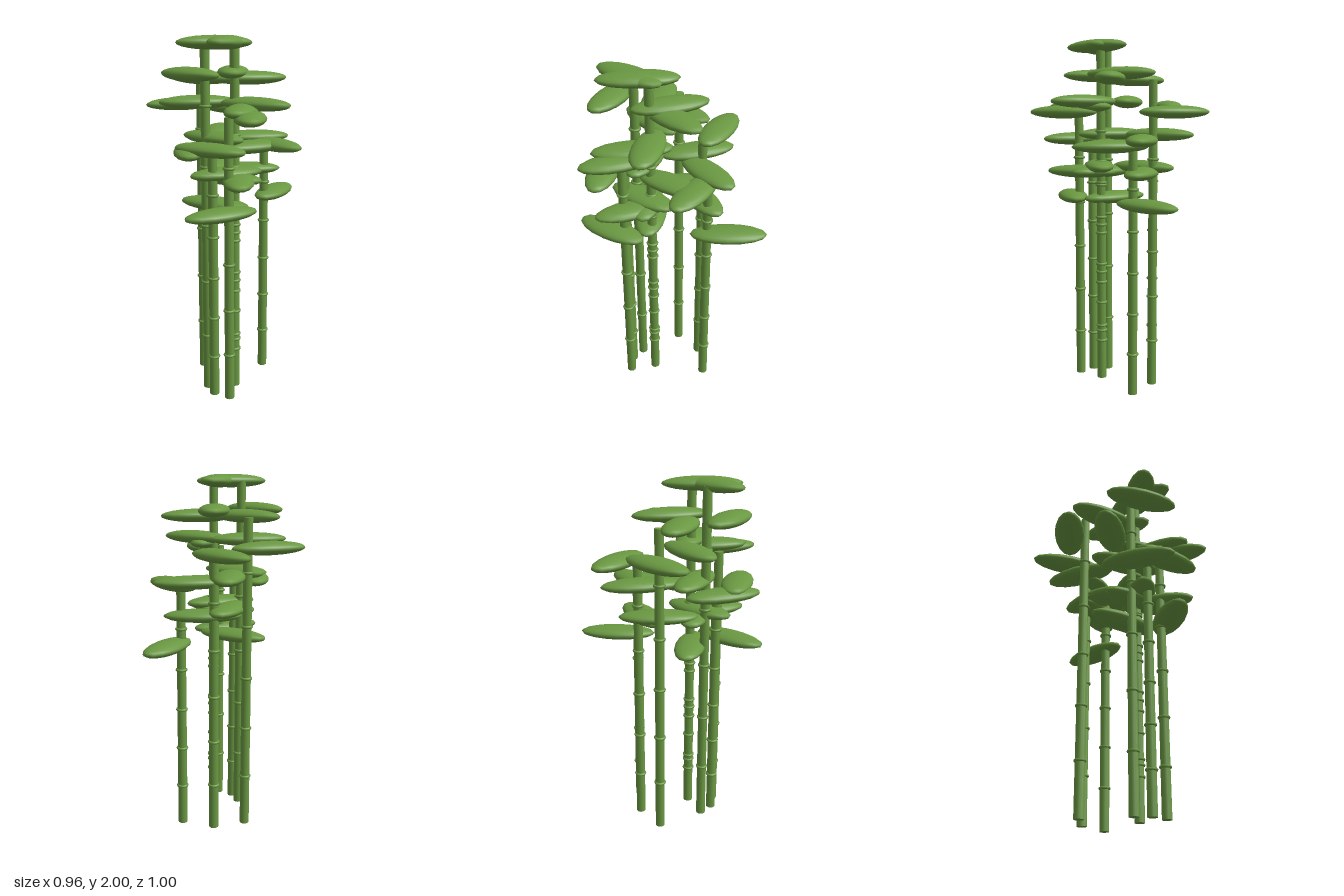
import * as THREE from 'three';

const green = new THREE.MeshStandardMaterial({ color: 0x6a9842 });
green.name = 'bamboo green';

const THIRD = (Math.PI * 2) / 3;
const LEAF_DROP = 0.157; // height step between leaves
const LEAF_REACH = 0.12; // leaf centre distance from its cane

// x, z, height, direction of the top leaf's centre, direction of its long axis
const canes = [
  [-0.24, 0.04, 1.963, 0.7, -0.71],
  [-0.095, 0.1, 1.963, 3.1, 0.1],
  [-0.095, 0.1, 1.777, -0.31, 0.25],
  [-0.13, -0.215, 1.777, 2.03, 1.18],
  [-0.2, 0.215, 1.59, 0.96, -0.98],
  [0.055, -0.175, 1.59, -1.33, 1.4],
  [0.185, -0.035, 1.405, 1.65, 1.5],
  [-0.25, 0.13, 1.405, -2.49, 2.09],
  [-0.095, 0.1, 1.405, -0.15, 0.02],
];

const ringGeo = new THREE.TorusGeometry(0.026, 0.008, 8, 16).rotateX(Math.PI / 2);
const leafGeo = new THREE.SphereGeometry(1, 16, 12).scale(0.215, 0.037, 0.086);

function add(parent, geometry, name, x, y, z) {
  const mesh = new THREE.Mesh(geometry, green);
  mesh.name = name;
  mesh.position.set(x, y, z);
  parent.add(mesh);
  return mesh;
}

function makeCane([x, z, height, reachAngle, axisAngle]) {
  const cane = new THREE.Group();
  cane.name = 'cane';
  cane.position.set(x, 0, z);

  // Stem with five evenly spaced joints
  add(cane, new THREE.CylinderGeometry(0.025, 0.027, height, 12), 'stem', 0, height / 2, 0);
  for (let i = 1; i <= 5; i++) add(cane, ringGeo, 'joint', 0, (height * i) / 6, 0);

  // Three flat leaves, each turned a third of a circle and set lower
  for (let j = 0; j < 3; j++) {
    const a = reachAngle + j * THIRD;
    const leaf = add(cane, leafGeo, 'leaf',
      Math.cos(a) * LEAF_REACH, height - j * LEAF_DROP, Math.sin(a) * LEAF_REACH);
    leaf.rotation.y = -(axisAngle + j * THIRD);
  }
  return cane;
}

export function createModel() {
  const model = new THREE.Group();
  model.name = 'bamboo clump';
  for (const spec of canes) model.add(makeCane(spec));
  return model;
}
